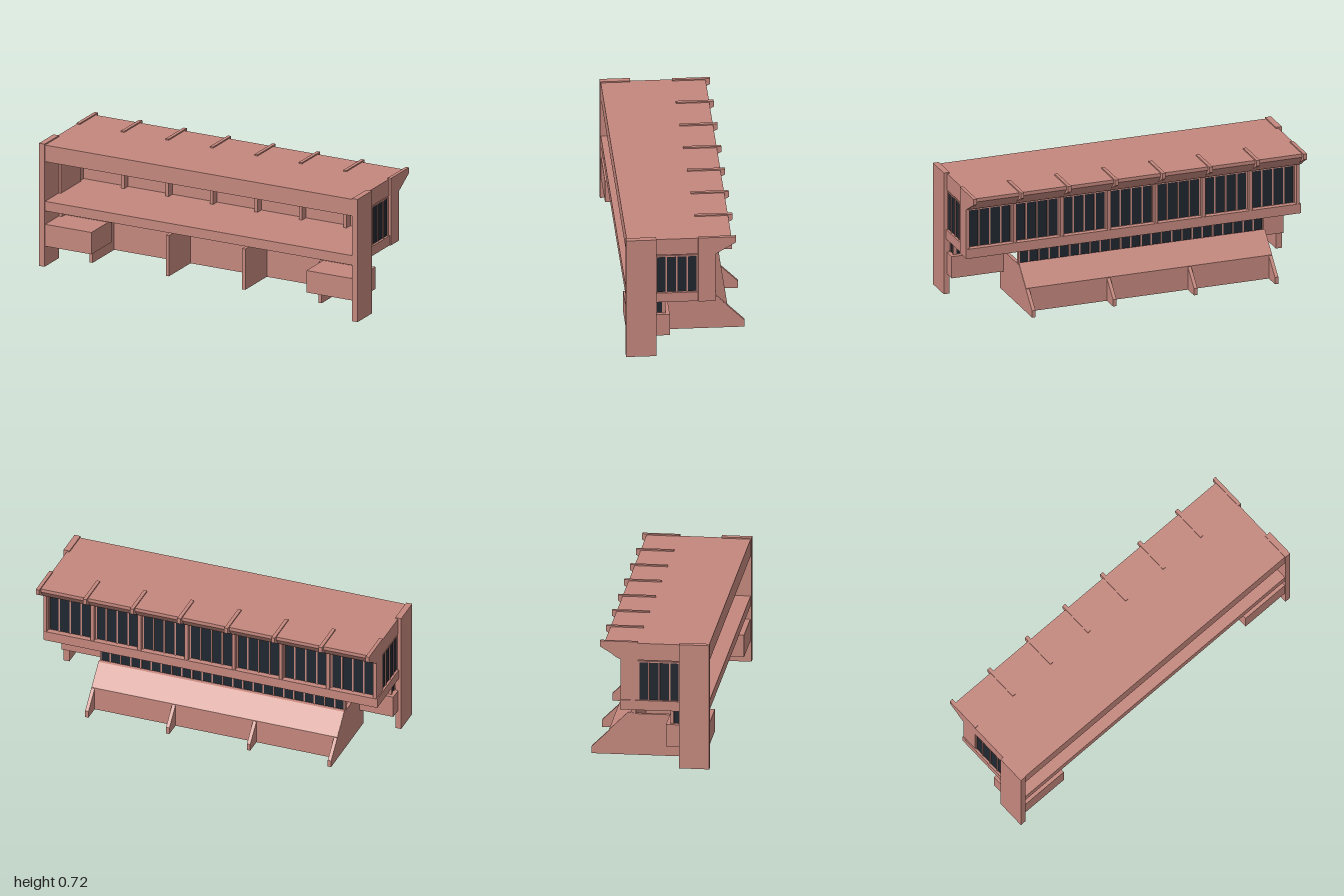
import * as THREE from 'three';

const wallMat = new THREE.MeshStandardMaterial({ color: 0xc4877d });
const glassMat = new THREE.MeshStandardMaterial({ color: 0x20272f });

// Box given by its min and max on each axis
function box(parent, name, [x0, x1], [y0, y1], [z0, z1], mat = wallMat) {
  const mesh = new THREE.Mesh(new THREE.BoxGeometry(x1 - x0, y1 - y0, z1 - z0), mat);
  mesh.position.set((x0 + x1) / 2, (y0 + y1) / 2, (z0 + z1) / 2);
  mesh.name = name;
  parent.add(mesh);
  return mesh;
}

// Side profile of [z, y] points, extruded along x around its centre
function profileGeometry(points, width) {
  const shape = new THREE.Shape(points.map(([z, y]) => new THREE.Vector2(z, y)));
  return new THREE.ExtrudeGeometry(shape, { depth: width, bevelEnabled: false })
    .translate(0, 0, -width / 2)
    .rotateY(-Math.PI / 2);
}

function profile(parent, name, geometry, x) {
  const mesh = new THREE.Mesh(geometry, wallMat);
  mesh.position.x = x;
  mesh.name = name;
  parent.add(mesh);
}

// Glazed wall facing local +z: solid backing, raised frame bars and glass panes
function glazedWall(name, width, height, panes, thickness = 0.02) {
  const wall = new THREE.Group();
  wall.name = name;
  const bar = 0.008, raise = 0.006, w = width / 2;
  box(wall, 'backing', [-w, w], [0, height], [-thickness, 0]);
  box(wall, 'topRail', [-w, w], [height - bar, height], [0, raise]);
  const pitch = width / panes;
  for (let i = 0; i <= panes; i++) {
    const x = THREE.MathUtils.clamp(-w + i * pitch, -w + bar / 2, w - bar / 2);
    box(wall, 'mullion', [x - bar / 2, x + bar / 2], [0, height - bar], [0, raise]);
    if (i < panes) {
      box(wall, 'glassPane', [-w + i * pitch + bar / 2, -w + (i + 1) * pitch - bar / 2],
        [0.002, height - bar], [0, 0.002], glassMat);
    }
  }
  return wall;
}

function place(parent, object, x, y, z, turn) {
  object.position.set(x, y, z);
  object.rotation.y = turn;
  parent.add(object);
}

export function createModel() {
  const model = new THREE.Group();
  model.name = 'controlBuilding';

  // Roof with a curved cove under the rear overhang
  const roofProfile = [[0.335, 0.613], [0.335, 0.71], [-0.245, 0.71], [-0.245, 0.69]];
  const cove = new THREE.QuadraticBezierCurve(
    new THREE.Vector2(-0.245, 0.69), new THREE.Vector2(-0.195, 0.622), new THREE.Vector2(-0.15, 0.613));
  cove.getPoints(8).slice(1).forEach((p) => roofProfile.push([p.x, p.y]));
  profile(model, 'roof', profileGeometry(roofProfile, 1.96), 0);

  // Upper floor slab
  box(model, 'upperFloor', [-0.986, 0.986], [0.325, 0.381], [-0.158, 0.335]);

  // Rear ribs carrying the overhang, with glazing in each bay
  const ribGeometry = profileGeometry([
    [-0.06, 0.325], [-0.06, 0.717], [-0.27, 0.717], [-0.27, 0.684], [-0.155, 0.615], [-0.155, 0.325],
  ], 0.02);
  const ribPitch = 0.279;
  for (let i = 0; i < 8; i++) {
    const x = -0.97 + i * ribPitch;
    profile(model, 'rearRib', ribGeometry, x);
    if (i < 7) {
      place(model, glazedWall('rearWindow', ribPitch - 0.02, 0.226, 4),
        x + ribPitch / 2, 0.381, -0.125, Math.PI);
    }
  }

  // Long window band under the upper floor
  place(model, glazedWall('lowerRearWindow', 1.45, 0.085, 24), -0.055, 0.24, -0.115, Math.PI);

  // Base with a sloping rear apron
  profile(model, 'baseApron', profileGeometry([
    [-0.095, 0], [-0.095, 0.24], [-0.13, 0.245], [-0.14, 0.243], [-0.245, 0.138], [-0.245, 0],
  ], 1.455), -0.055);

  // Buttress fins under the base
  const finGeometry = profileGeometry([
    [0.155, 0], [0.155, 0.238], [-0.14, 0.238], [-0.34, 0.04], [-0.34, 0],
  ], 0.02);
  for (let i = 0; i < 4; i++) profile(model, 'buttressFin', finGeometry, -0.773 + i * 0.479);

  // Parts repeated at both ends
  for (const s of [-1, 1]) {
    const span = (a, b) => (s > 0 ? [a, b] : [-b, -a]);
    box(model, 'endPier', span(0.965, 1), [0, 0.717], [0.172, 0.34]);
    box(model, 'sideBox', span(0.675, 0.982), [0.118, 0.246], [0.097, 0.333]);

    // Upper end window
    place(model, glazedWall('endWindow', 0.235, 0.226, 4), s * 0.972, 0.381, 0.058, s * Math.PI / 2);

    // Small windows above the side box, facing back and outward
    place(model, glazedWall('sideBoxRearWindow', 0.31, 0.08, 5, 0.012), s * 0.808, 0.246, 0.126, Math.PI);
    place(model, glazedWall('sideBoxEndWindow', 0.054, 0.08, 1, 0.012), s * 0.957, 0.246, 0.147, s * Math.PI / 2);
  }

  return model;
}
